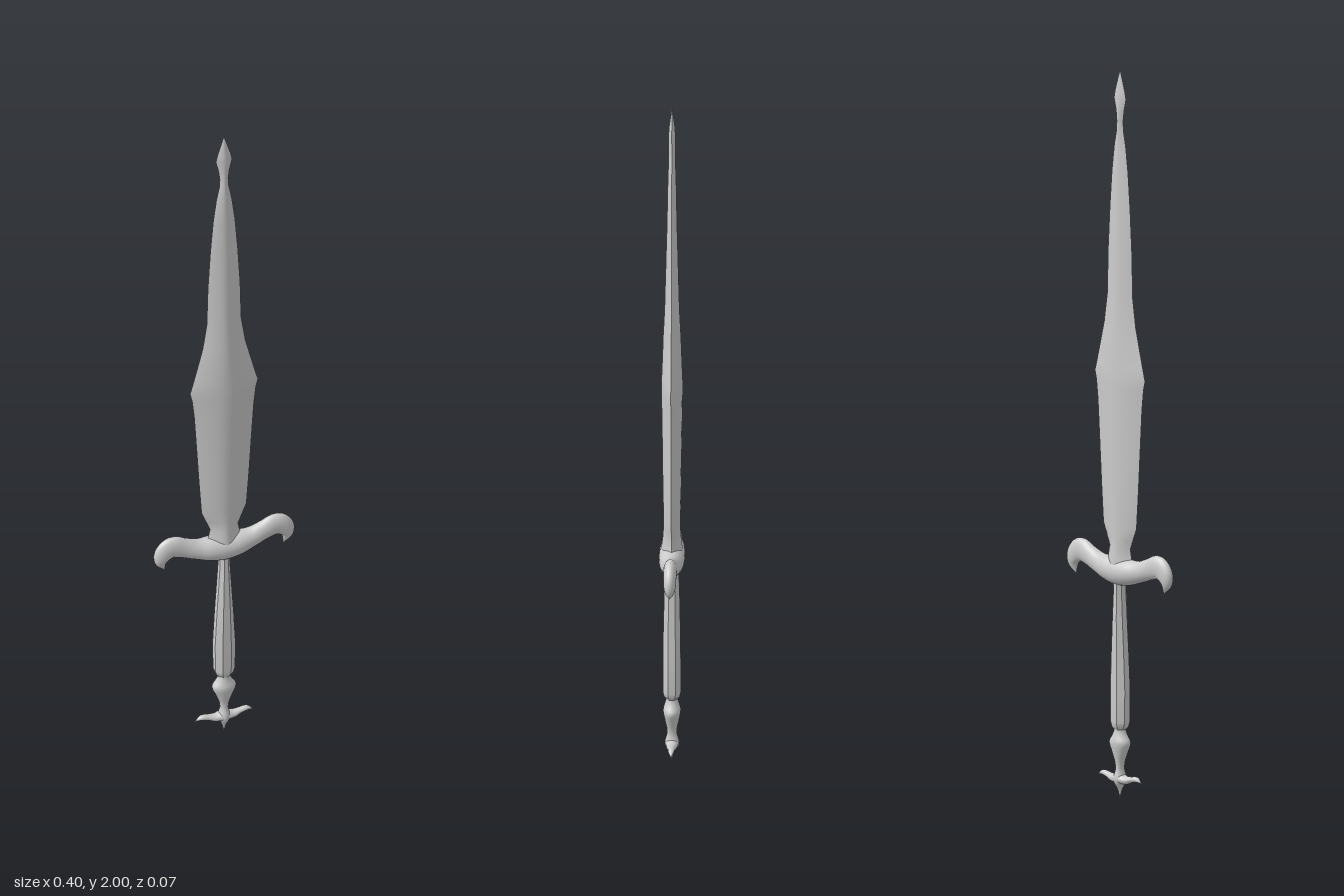
import * as THREE from 'three';
import { mergeVertices } from 'three/addons/utils/BufferGeometryUtils.js';

const steel = new THREE.MeshStandardMaterial({ color: 0xcccccc, roughness: 0.6 });

// Cross-sections: lists of strips; separate strips meet at a crease.
const arc = (from, to, n, f) => Array.from({ length: n + 1 }, (_, i) => f(from + (to - from) * i / n));
const onCircle = (a) => [Math.cos(a), Math.sin(a)];
const round = [arc(0, Math.PI * 2, 24, onCircle)];
const octagon = Array.from({ length: 8 }, (_, i) =>
  arc((i - 0.5) * Math.PI / 4, (i + 0.5) * Math.PI / 4, 1, (a) => onCircle(a).map((v) => v / Math.cos(Math.PI / 8))));
const lens = [
  arc(1, -1, 12, (u) => [u, 1 - Math.abs(u) ** 1.6]),
  arc(-1, 1, 12, (u) => [u, Math.abs(u) ** 1.6 - 1]),
];

// Rows are [x, y, half width across the path, half depth in z].
function loft(name, rows, section, sub = 1) {
  const path = new THREE.CatmullRomCurve3(rows.map((r) => new THREE.Vector3(r[0], r[1], 0)), false, 'centripetal');
  const size = new THREE.CatmullRomCurve3(rows.map((r) => new THREE.Vector3(r[2], r[3], 0)), false, 'catmullrom', 0.4);
  const steps = (rows.length - 1) * sub;
  const pos = [], index = [];
  for (const strip of section) {
    const base = pos.length / 3, n = strip.length;
    for (let i = 0; i <= steps; i++) {
      const p = path.getPoint(i / steps), t = path.getTangent(i / steps), s = size.getPoint(i / steps);
      const w = Math.max(s.x, 0.0005), d = Math.max(s.y, 0.0005);
      for (const [u, v] of strip) pos.push(p.x + t.y * u * w, p.y - t.x * u * w, v * d);
      if (i === steps) break;
      for (let j = 0; j < n - 1; j++) {
        const a = base + i * n + j, c = a + n;
        index.push(a, c, a + 1, a + 1, c, c + 1);
      }
    }
  }
  let geo = new THREE.BufferGeometry();
  geo.setAttribute('position', new THREE.Float32BufferAttribute(pos, 3));
  geo.setIndex(index);
  if (section === round) geo = mergeVertices(geo, 1e-6);
  geo.computeVertexNormals();
  const mesh = new THREE.Mesh(geo, steel);
  mesh.name = name;
  return mesh;
}

// Rows for one arm (centre outwards) become a full left-right path.
const mirrored = (half) => [...half.slice(1).reverse().map(([x, ...r]) => [-x, ...r]), ...half];
const upright = (rows) => rows.map((r) => [0, ...r]);

export function createModel() {
  const group = new THREE.Group();
  group.name = 'dagger';

  // Blade with a waisted root, a wide shoulder and a small spear tip
  group.add(loft('blade', upright([
    [0.63, 0.05, 0.03], [0.665, 0.045, 0.027], [0.69, 0.04, 0.024], [0.715, 0.05, 0.023],
    [0.75, 0.064, 0.023], [0.85, 0.071, 0.025], [0.95, 0.077, 0.026], [1.08, 0.085, 0.028],
    [1.135, 0.091, 0.029], [1.16, 0.097, 0.029], [1.185, 0.09, 0.028], [1.24, 0.076, 0.026],
    [1.3, 0.061, 0.024], [1.38, 0.049, 0.02], [1.5, 0.046, 0.017], [1.62, 0.039, 0.014],
    [1.72, 0.031, 0.012], [1.79, 0.022, 0.011], [1.835, 0.013, 0.009], [1.86, 0.012, 0.009],
    [1.89, 0.016, 0.009], [1.92, 0.023, 0.009], [1.94, 0.019, 0.008], [2.0, 0, 0],
  ]), lens));

  // Crossguard whose arms curl down into pointed hooks
  group.add(loft('crossguard', mirrored([
    [0, 0.624, 0.038, 0.035], [0.04, 0.627, 0.035, 0.033], [0.08, 0.635, 0.029, 0.025],
    [0.115, 0.648, 0.029, 0.02], [0.15, 0.658, 0.033, 0.018], [0.172, 0.643, 0.028, 0.017],
    [0.18, 0.62, 0.018, 0.014], [0.169, 0.588, 0, 0],
  ]), round, 5));

  // Faceted grip
  group.add(loft('grip', upright([
    [0.19, 0.014, 0.014], [0.2, 0.024, 0.021], [0.215, 0.028, 0.024], [0.3, 0.029, 0.024],
    [0.4, 0.024, 0.023], [0.5, 0.018, 0.021], [0.57, 0.014, 0.019], [0.61, 0.016, 0.019],
  ]), octagon));

  // Turned knob, neck and bottom spike
  group.add(loft('pommel', upright([
    [0, 0, 0], [0.025, 0.006, 0.006], [0.045, 0.014, 0.018], [0.06, 0.016, 0.019],
    [0.08, 0.011, 0.014], [0.1, 0.013, 0.014], [0.125, 0.022, 0.019], [0.155, 0.034, 0.024],
    [0.175, 0.022, 0.019], [0.19, 0.016, 0.016], [0.205, 0.02, 0.018],
  ]), round, 3));

  // Small wavy cross arms on the pommel
  group.add(loft('pommelArms', mirrored([
    [0, 0.056, 0.014, 0.018], [0.025, 0.054, 0.011, 0.014], [0.045, 0.059, 0.008, 0.01],
    [0.065, 0.062, 0.007, 0.008], [0.084, 0.053, 0, 0],
  ]), round, 5));

  return group;
}
